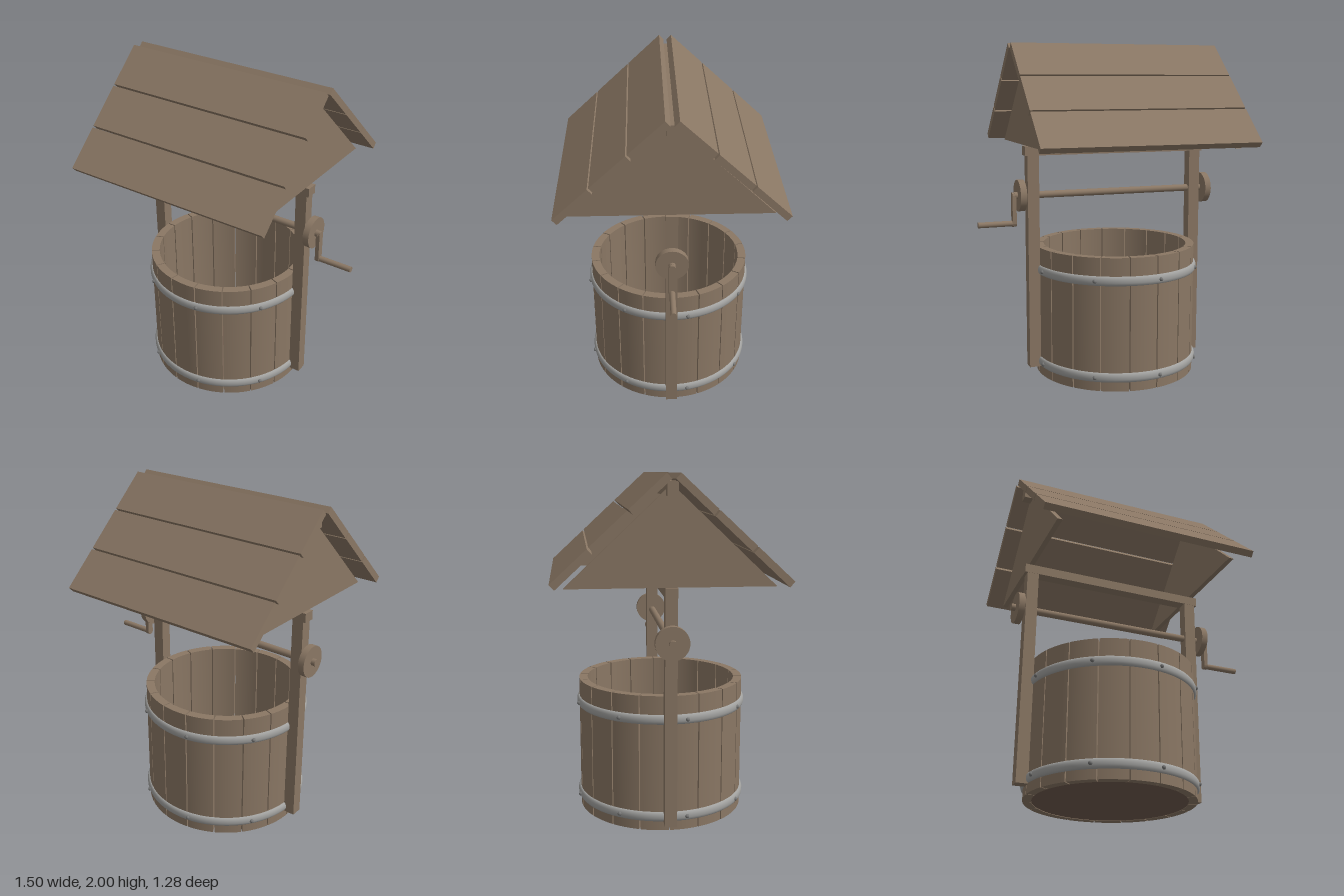
import * as THREE from 'three';
import { toCreasedNormals } from 'three/addons/utils/BufferGeometryUtils.js';

const CX = -0.105; // well axis

export function createModel() {
  const root = new THREE.Group();
  root.name = 'wishingWell';
  const mat = (name, color) => Object.assign(new THREE.MeshStandardMaterial({ color }), { name });
  const wood = mat('wood', 0x8a7764);
  const darkWood = mat('dark wood', 0x705b4e);
  const metal = mat('metal', 0xa2a2a0);
  const rivetMetal = mat('rivet metal', 0x777776);

  const add = (name, geo, material, x = 0, y = 0, z = 0, parent = root) => {
    const m = new THREE.Mesh(geo, material);
    m.name = name;
    m.position.set(x, y, z);
    parent.add(m);
    return m;
  };
  // box given by its limits in x and y, centred on z
  const box = (name, x0, x1, y0, y1, depth, parent) =>
    add(name, new THREE.BoxGeometry(x1 - x0, y1 - y0, depth), wood, (x0 + x1) / 2, (y0 + y1) / 2, 0, parent);
  // cylinder lying along x
  const rod = (name, x0, x1, y, r, seg = 24) =>
    add(name, new THREE.CylinderGeometry(r, r, x1 - x0, seg).rotateZ(Math.PI / 2), wood, (x0 + x1) / 2, y, 0);

  // Barrel: 18 curved staves with narrow gaps
  const barrel = new THREE.Group();
  barrel.name = 'barrel';
  barrel.position.x = CX;
  root.add(barrel);
  const R = 0.49, r = 0.44, half = Math.PI / 18, gap = 0.0035;
  const section = new THREE.Shape();
  section.absarc(0, 0, R, -half + gap / R, half - gap / R, false);
  section.absarc(0, 0, r, half - gap / r, -half + gap / r, true);
  section.closePath();
  const staveGeo = toCreasedNormals(
    new THREE.ExtrudeGeometry(section, { depth: 0.79, bevelEnabled: false, curveSegments: 5 }).rotateX(-Math.PI / 2), 0.5);
  for (let i = 0; i < 18; i++) {
    add('stave', staveGeo, wood, 0, 0, 0, barrel).rotation.y = (i * 2 + 1) * half;
  }
  add('barrelFloor', new THREE.CylinderGeometry(0.442, 0.442, 0.03, 48), darkWood, 0, 0.018, 0, barrel);

  // Hoops with rounded outer faces, and eight rivets on each
  const profile = [[0.489, -0.028], [0.495, -0.027], [0.501, -0.02], [0.505, -0.008],
    [0.505, 0.008], [0.501, 0.02], [0.495, 0.027], [0.489, 0.028]].map(p => new THREE.Vector2(...p));
  const hoopGeo = new THREE.LatheGeometry(profile, 72);
  const rivetGeo = new THREE.SphereGeometry(0.012, 12, 8);
  for (const y of [0.083, 0.655]) {
    add('hoop', hoopGeo, metal, 0, y, 0, barrel);
    for (let i = 0; i < 8; i++) {
      const a = 0.2 + i * Math.PI / 4;
      add('rivet', rivetGeo, rivetMetal, 0.505 * Math.sin(a), y, 0.505 * Math.cos(a), barrel);
    }
  }

  // Frame
  box('post', -0.665, -0.595, 0.05, 1.399, 0.068);
  box('post', 0.385, 0.455, 0.05, 1.399, 0.068);
  box('crossbar', -0.68, 0.47, 1.345, 1.4, 0.07);

  // Axle with end discs
  rod('axle', -0.745, 0.53, 1.108, 0.021);
  rod('axleDisc', -0.72, -0.682, 1.108, 0.094, 32);
  rod('axleDisc', 0.474, 0.512, 1.108, 0.094, 32);

  // Crank: round-ended arm and handle
  const arm = new THREE.Shape();
  arm.absarc(0, 1.108, 0.02, 0, Math.PI, false);
  arm.absarc(0, 0.942, 0.02, Math.PI, Math.PI * 2, false);
  arm.closePath();
  const armGeo = new THREE.ExtrudeGeometry(arm, { depth: 0.024, bevelEnabled: false, curveSegments: 10 });
  add('crankArm', toCreasedNormals(armGeo.rotateY(Math.PI / 2), 0.6), wood, 0.521);
  rod('crankHandle', 0.525, 0.75, 0.942, 0.017, 20);

  // Roof: gables, ridge beam and three boards on each slope
  const roof = new THREE.Group();
  roof.name = 'roof';
  root.add(roof);
  const tri = new THREE.Shape([[-0.57, 1.4], [0.57, 1.4], [0, 1.94]].map(p => new THREE.Vector2(...p)));
  const gableGeo = new THREE.ExtrudeGeometry(tri, { depth: 0.03, bevelEnabled: false }).rotateY(Math.PI / 2);
  add('gable', gableGeo, wood, -0.658, 0, 0, roof);
  add('gable', gableGeo, wood, 0.418, 0, 0, roof);
  box('ridgeBeam', -0.71, 0.5, 1.88, 1.955, 0.06, roof);

  const slope = 0.747, length = 0.835, thick = 0.04;
  const c = Math.cos(slope), s = Math.sin(slope);
  const boardGeo = new THREE.BoxGeometry(1.3, thick, length / 3 - 0.011);
  for (const side of [1, -1]) {
    for (let i = 0; i < 3; i++) {
      const t = (i + 0.5) * length / 3;
      const y = 2 - s * t - c * thick / 2;
      const z = 0.033 + c * t - s * thick / 2;
      add('roofBoard', boardGeo, wood, CX, y, side * z, roof).rotation.x = side * slope;
    }
  }
  return root;
}
